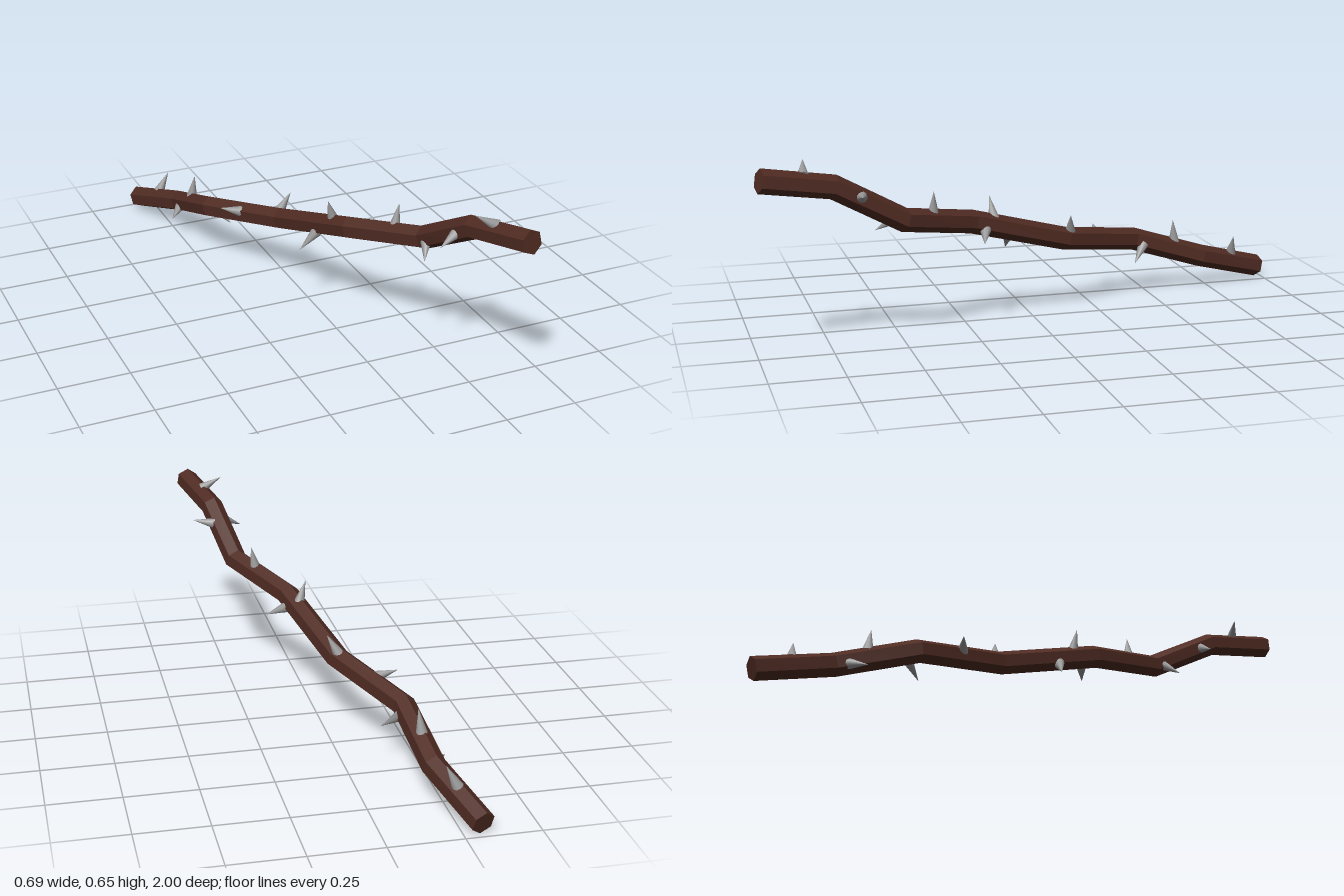
import * as THREE from 'three';

const V = (a) => new THREE.Vector3(...a);

// Centre line of the branch, from front tip to back tip
const PATH = [
  [0.31, 0.61, 0.985], [0.247, 0.565, 0.74], [0.2, 0.43, 0.5], [0.055, 0.375, 0.235],
  [-0.045, 0.268, -0.13], [-0.2, 0.21, -0.44], [-0.225, 0.12, -0.72], [-0.31, 0.042, -0.985],
].map(V);

// Thorns: [base, tip]
const THORNS = [
  [[0.27, 0.61, 0.84], [0.197, 0.653, 0.83]],
  [[0.255, 0.527, 0.65], [0.335, 0.542, 0.66]],
  [[0.215, 0.53, 0.69], [0.145, 0.497, 0.71]],
  [[0.19, 0.435, 0.53], [0.155, 0.39, 0.59]],
  [[0.145, 0.43, 0.39], [0.16, 0.512, 0.39]],
  [[0.03, 0.375, 0.15], [0.005, 0.452, 0.16]],
  [[0.068, 0.345, 0.19], [0.14, 0.313, 0.21]],
  [[-0.005, 0.308, 0.09], [-0.068, 0.245, 0.085]],
  [[-0.045, 0.29, -0.15], [-0.005, 0.36, -0.14]],
  [[-0.145, 0.25, -0.28], [-0.22, 0.273, -0.29]],
  [[-0.18, 0.19, -0.475], [-0.127, 0.133, -0.425]],
  [[-0.215, 0.185, -0.61], [-0.205, 0.27, -0.6]],
  [[-0.24, 0.122, -0.675], [-0.295, 0.1, -0.615]],
  [[-0.263, 0.11, -0.86], [-0.225, 0.185, -0.855]],
];

// Six-sided tube with mitred rings at every bend and closed ends
function branchGeometry(path, radius, sides, roll) {
  const up = new THREE.Vector3(0, 1, 0);
  const pos = [], index = [];
  const last = path.length - 1;
  path.forEach((p, i) => {
    const before = p.clone().sub(path[Math.max(i - 1, 0)]).normalize();
    const after = path[Math.min(i + 1, last)].clone().sub(p).normalize();
    const t = before.add(after).normalize().negate();
    const u = up.clone().cross(t).normalize();
    const v = t.clone().cross(u);
    for (let k = 0; k < sides; k++) {
      const a = roll + Math.PI / 2 + (k / sides) * Math.PI * 2;
      const q = p.clone().addScaledVector(u, radius * Math.cos(a)).addScaledVector(v, radius * Math.sin(a));
      pos.push(q.x, q.y, q.z);
    }
  });
  for (let i = 0; i < last; i++) {
    for (let k = 0; k < sides; k++) {
      const a = i * sides + k, b = i * sides + (k + 1) % sides;
      index.push(a, a + sides, b, b, a + sides, b + sides);
    }
  }
  // End caps
  const e = last * sides;
  for (let k = 1; k < sides - 1; k++) {
    index.push(0, k, k + 1, e, e + k + 1, e + k);
  }
  const indexed = new THREE.BufferGeometry();
  indexed.setAttribute('position', new THREE.Float32BufferAttribute(pos, 3));
  indexed.setIndex(index);
  const g = indexed.toNonIndexed();
  g.computeVertexNormals();
  return g;
}

export function createModel() {
  const model = new THREE.Group();
  model.name = 'thornyBranch';
  const bark = new THREE.MeshStandardMaterial({ color: 0x4f2b22 });
  bark.name = 'dark brown bark';
  const grey = new THREE.MeshStandardMaterial({ color: 0x999999 });
  grey.name = 'grey thorn';

  const branch = new THREE.Mesh(branchGeometry(PATH, 0.041, 6, 0.1), bark);
  branch.name = 'branch';
  model.add(branch);

  // Thorns: cones pointing from base to tip
  THORNS.forEach(([from, to], i) => {
    const base = V(from), tip = V(to);
    const dir = tip.clone().sub(base);
    const thorn = new THREE.Mesh(new THREE.ConeGeometry(0.02, dir.length(), 12), grey);
    thorn.position.copy(base).add(tip).multiplyScalar(0.5);
    thorn.quaternion.setFromUnitVectors(new THREE.Vector3(0, 1, 0), dir.normalize());
    thorn.name = 'thorn' + (i + 1);
    model.add(thorn);
  });
  return model;
}
